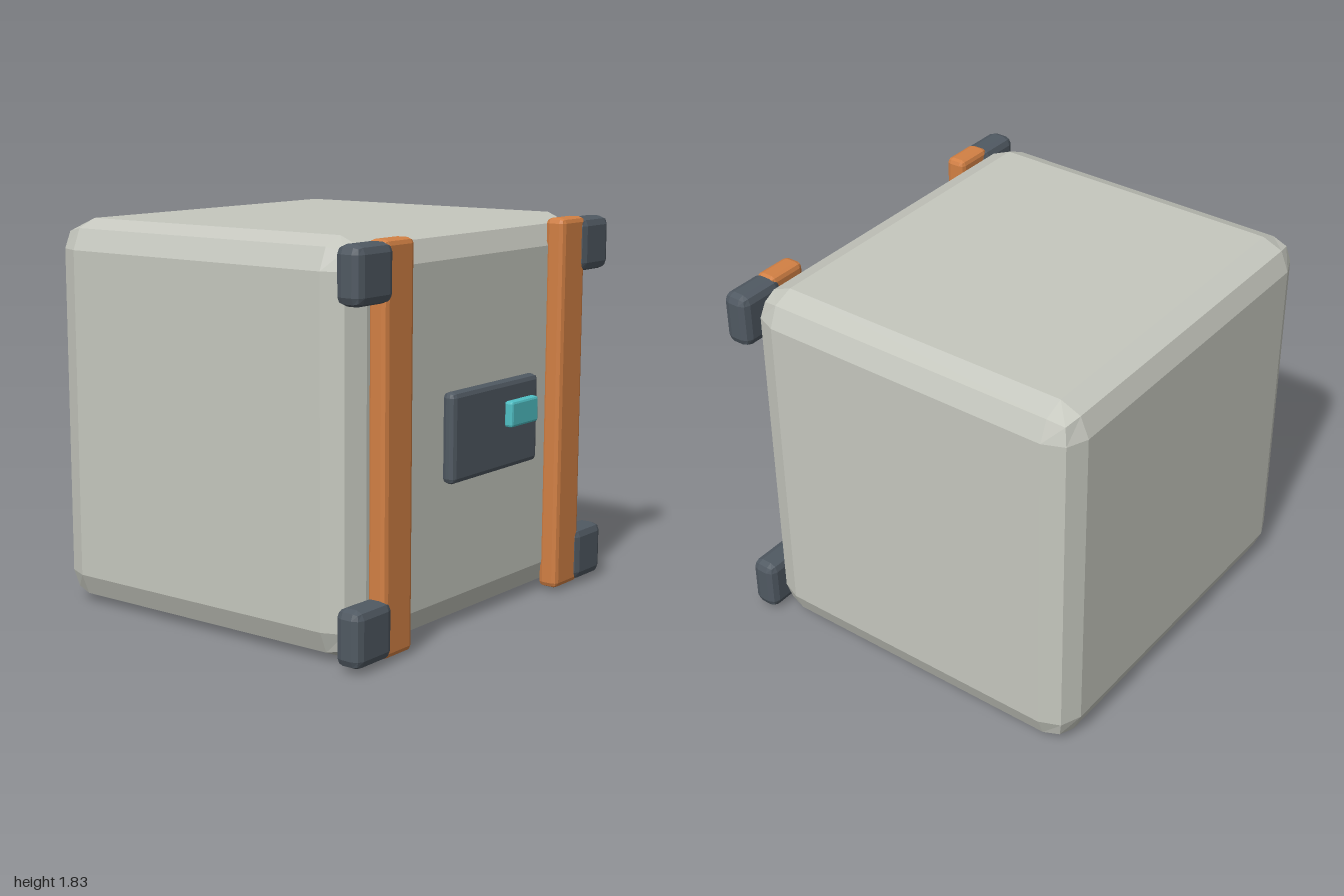
import * as THREE from 'three';
import { RoundedBoxGeometry } from 'three/addons/geometries/RoundedBoxGeometry.js';

function paint(name, color) {
  const material = new THREE.MeshStandardMaterial({ color });
  material.name = name;
  return material;
}

// Box with two flat facets round every edge, given by its limits on each axis
function bevelBox(name, material, [x0, x1], [y0, y1], [z0, z1], radius) {
  const geometry = new RoundedBoxGeometry(x1 - x0, y1 - y0, z1 - z0, 1, radius);
  geometry.computeVertexNormals(); // unshared corners, so the facets stay flat
  const mesh = new THREE.Mesh(geometry, material);
  mesh.name = name;
  mesh.position.set((x0 + x1) / 2, (y0 + y1) / 2, (z0 + z1) / 2);
  return mesh;
}

export function createModel() {
  const group = new THREE.Group();
  group.name = 'crate';
  const shell = paint('pale grey shell', 0xc5c7be);
  const orange = paint('orange strap', 0xd28044);
  const slate = paint('dark slate', 0x505962);
  const teal = paint('teal light', 0x50c0c5);

  // Main body
  group.add(bevelBox('body', shell, [-0.955, 0.955], [0, 1.83], [-0.95, 0.787], 0.14));

  // Straps and corner guards, mirrored left and right
  for (const side of [-1, 1]) {
    const label = side > 0 ? 'left' : 'right';
    const span = (a, b) => (side > 0 ? [a, b] : [-b, -a]);
    group.add(bevelBox(label + 'Strap', orange, span(0.592, 0.798), [0.017, 1.82], [0.77, 0.873], 0.025));
    group.add(bevelBox(label + 'TopGuard', slate, span(0.75, 1), [1.557, 1.813], [0.755, 0.888], 0.04));
    group.add(bevelBox(label + 'BottomGuard', slate, span(0.75, 1), [0.022, 0.28], [0.755, 0.888], 0.04));
  }

  // Lock panel with its indicator
  group.add(bevelBox('lockPanel', slate, [-0.345, 0.345], [0.71, 1.122], [0.84, 0.907], 0.025));
  group.add(bevelBox('indicator', teal, [0.062, 0.284], [0.91, 1.03], [0.9, 0.947], 0.012));

  return group;
}
